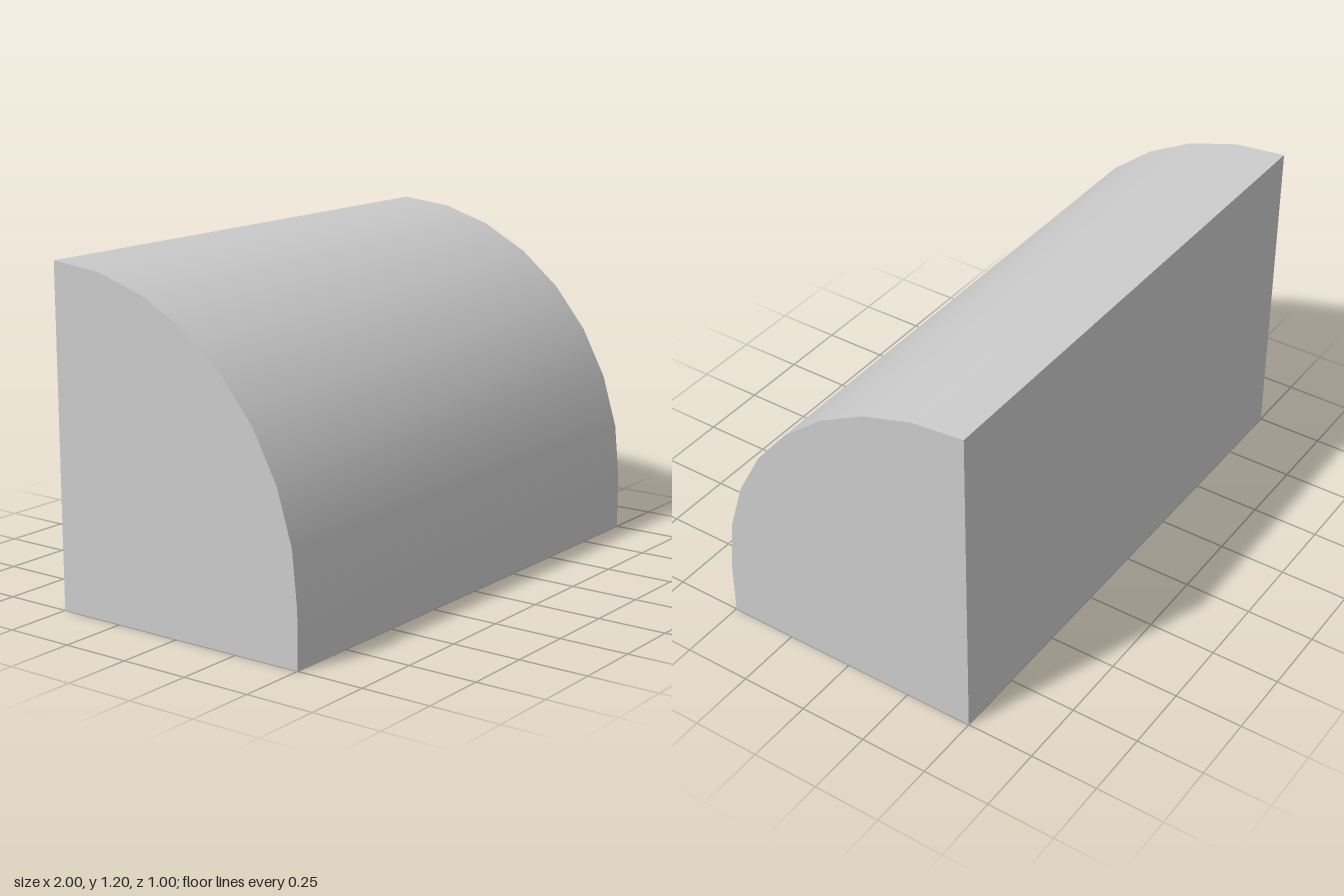
import * as THREE from 'three';
import { toCreasedNormals } from 'three/addons/utils/BufferGeometryUtils.js';

export function createModel() {
  const group = new THREE.Group();
  const length = 2, radius = 1, baseHeight = 0.2, back = -0.5;

  // Side profile: a quarter round on a low straight base, drawn as (z, y)
  const profile = new THREE.Shape();
  profile.moveTo(back, 0);
  profile.lineTo(back + radius, 0);
  profile.lineTo(back + radius, baseHeight);
  profile.absarc(back, baseHeight, radius, 0, Math.PI / 2, false);
  profile.closePath();

  // Sweep the profile along x; the curved front is smooth, other edges sharp
  const geometry = new THREE.ExtrudeGeometry(profile, {
    depth: length, steps: 1, curveSegments: 4, bevelEnabled: false,
  });
  geometry.translate(0, 0, -length / 2);
  geometry.rotateY(-Math.PI / 2);

  const block = new THREE.Mesh(
    toCreasedNormals(geometry, 0.6),
    new THREE.MeshStandardMaterial({ color: 0xcccccc }),
  );
  block.name = 'quarterRoundBlock';
  group.add(block);
  return group;
}
